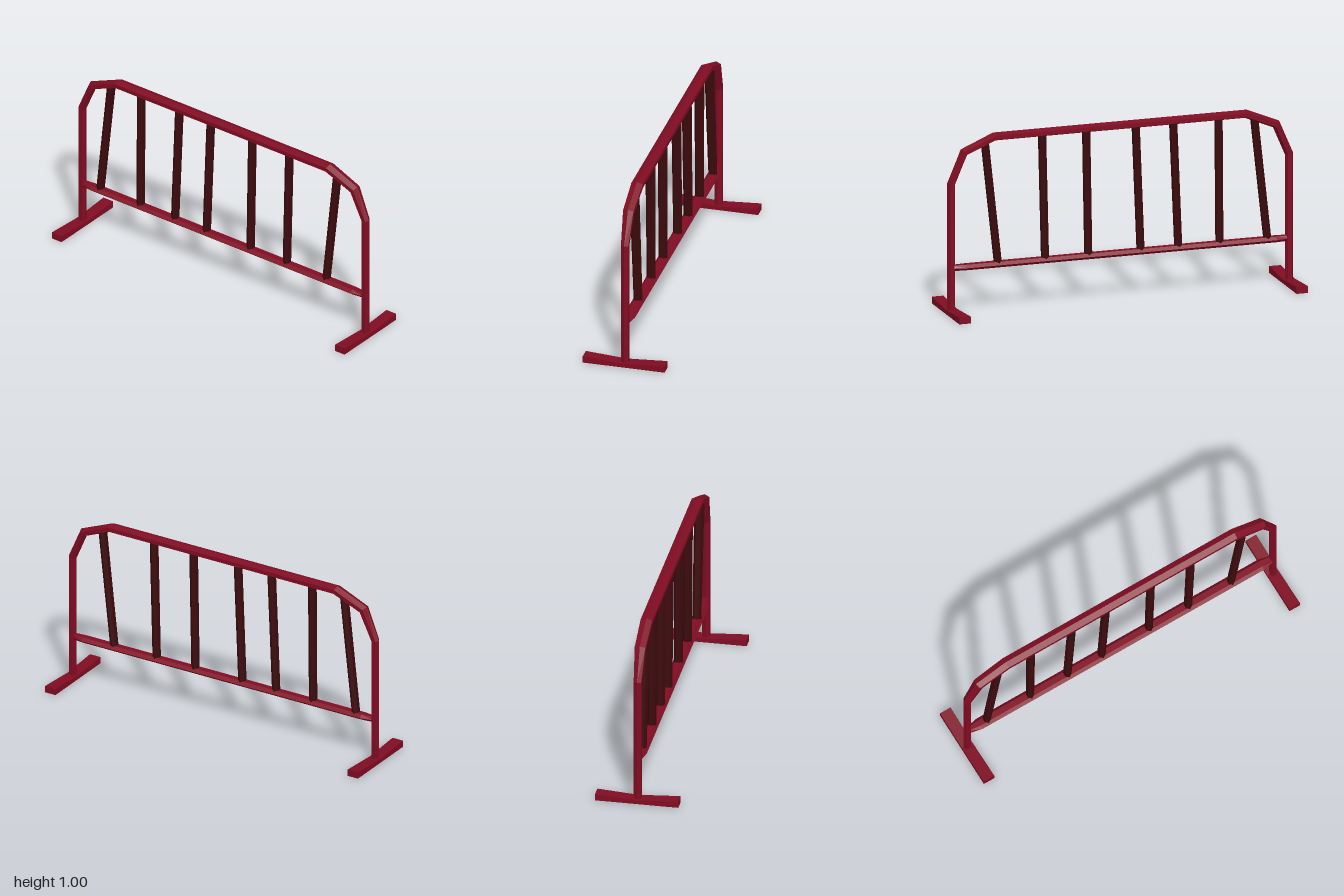
import * as THREE from 'three';

const red = new THREE.MeshStandardMaterial({ color: 0x800c22 });
red.name = 'crimson paint';
const dark = new THREE.MeshStandardMaterial({ color: 0x3c0a0c });
dark.name = 'dark rusty red';

// Six-sided tube along a path in the zy plane.
// Each path point is [z, y, half width in x]; r is the in-plane radius.
function hexTube(path, r, phase) {
  const pts = path.map(([z, y]) => new THREE.Vector2(z, y));
  const rings = pts.map((p, i) => {
    const a = p.clone().sub(pts[Math.max(i - 1, 0)]).normalize();
    const b = pts[Math.min(i + 1, pts.length - 1)].clone().sub(p).normalize();
    const t = a.clone().add(b).normalize();
    const miter = 1 / (a.lengthSq() && b.lengthSq() ? t.dot(a) : 1);
    const ring = [];
    for (let k = 0; k < 6; k++) {
      const ang = phase + (k * Math.PI) / 3;
      const d = Math.cos(ang) * r * miter;
      ring.push([Math.sin(ang) * path[i][2], p.y - t.x * d, p.x + t.y * d]);
    }
    return ring;
  });
  const pos = [];
  for (let i = 0; i < rings.length - 1; i++) {
    for (let k = 0; k < 6; k++) {
      const n = (k + 1) % 6;
      const [a, b, c, d] = [rings[i][k], rings[i][n], rings[i + 1][n], rings[i + 1][k]];
      pos.push(...a, ...b, ...c, ...a, ...c, ...d);
    }
  }
  const geo = new THREE.BufferGeometry();
  geo.setAttribute('position', new THREE.Float32BufferAttribute(pos, 3));
  geo.computeVertexNormals();
  return geo;
}

export function createModel() {
  const group = new THREE.Group();
  const add = (name, geo, mat) => {
    const mesh = new THREE.Mesh(geo, mat);
    mesh.name = name;
    group.add(mesh);
    return mesh;
  };

  // Bent outer frame: leg, two bends, top rail, mirrored
  const half = [[0.968, 0.01, 0.023], [0.968, 0.73, 0.024], [0.895, 0.9, 0.034], [0.72, 0.973, 0.037]];
  const frame = [...half, ...half.slice().reverse().map(([z, y, w]) => [-z, y, w])];
  add('outerFrame', hexTube(frame, 0.023, 0), red);

  // Lower rail, pinched where it meets the legs
  const rail = [[0.965, 0.255, 0.018], [0.89, 0.255, 0.034], [-0.89, 0.255, 0.034], [-0.965, 0.255, 0.018]];
  add('lowerRail', hexTube(rail, 0.018, Math.PI / 6), red);

  // Slightly crooked upright bars: [bottom z, top z]
  const bars = [[0.7, 0.777], [0.43, 0.447], [0.182, 0.194], [-0.118, -0.09],
    [-0.334, -0.305], [-0.57, -0.565], [-0.845, -0.768]];
  bars.forEach(([z0, z1], i) => {
    add('bar' + (i + 1), hexTube([[z0, 0.255, 0.025], [z1, 0.958, 0.028]], 0.022, Math.PI / 6), dark);
  });

  // Feet: flat below, dipping towards the middle on top
  const profile = new THREE.Shape([[-0.23, 0], [0.23, 0], [0.23, 0.038], [0, 0.023], [-0.23, 0.038]]
    .map(([x, y]) => new THREE.Vector2(x, y)));
  const footGeo = new THREE.ExtrudeGeometry(profile, { depth: 0.066, bevelEnabled: false });
  add('frontFoot', footGeo, red).position.z = 0.934;
  add('backFoot', footGeo, red).position.z = -1;

  return group;
}
